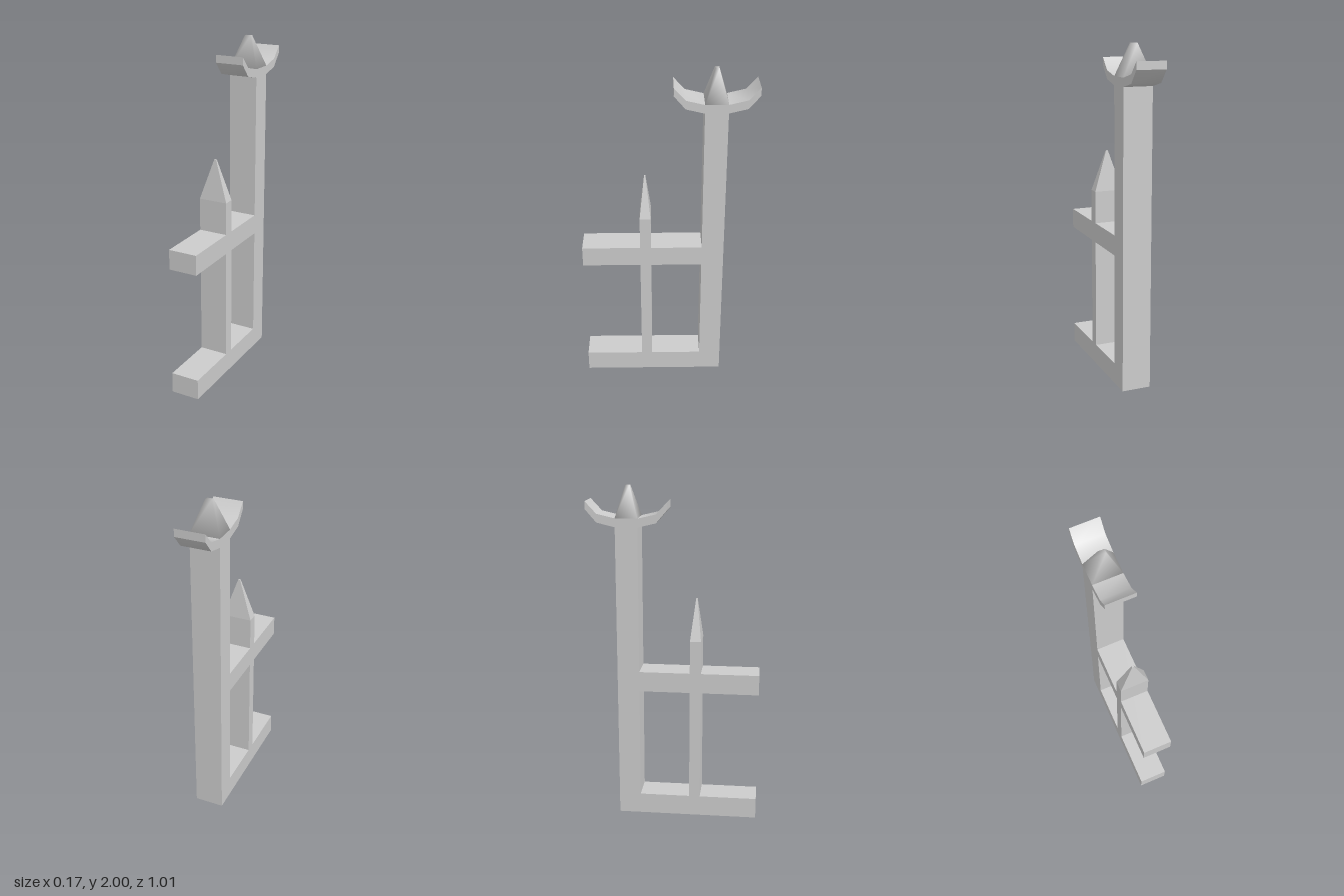
import * as THREE from 'three';
import { mergeVertices, toCreasedNormals } from 'three/addons/utils/BufferGeometryUtils.js';

const HALF_WIDTH = 0.087;
const POST_Z = -0.27;

export function createModel() {
  const group = new THREE.Group();
  group.name = 'fenceSection';
  const material = new THREE.MeshStandardMaterial({ color: 0xcccccc });

  const add = (name, geometry) => {
    const mesh = new THREE.Mesh(geometry, material);
    mesh.name = name;
    group.add(mesh);
    return mesh;
  };

  // Full-width block between two heights and two depths
  const block = (name, y0, y1, z0, z1) => {
    const geometry = new THREE.BoxGeometry(2 * HALF_WIDTH, y1 - y0, z1 - z0);
    geometry.translate(0, (y0 + y1) / 2, (z0 + z1) / 2);
    return add(name, geometry);
  };

  // Box whose upper corners are drawn in to a small tip
  const taper = (y0, y1, z, baseX, baseZ, tipX, tipZ) => {
    const geometry = new THREE.BoxGeometry(2, y1 - y0, 2);
    const p = geometry.attributes.position;
    for (let i = 0; i < p.count; i++) {
      const top = p.getY(i) > 0;
      p.setX(i, p.getX(i) * (top ? tipX : baseX));
      p.setZ(i, p.getZ(i) * (top ? tipZ : baseZ));
    }
    geometry.translate(0, (y0 + y1) / 2, z);
    geometry.computeVertexNormals();
    return geometry;
  };

  // Post and rails
  block('post', 0, 1.8, -0.335, -0.205);
  block('lowerRail', 0, 0.125, -0.205, 0.505);
  block('upperRail', 0.795, 0.915, -0.205, 0.505);

  // Pointed picket passing through the upper rail
  block('picketLower', 0.125, 0.795, 0.096, 0.161);
  block('picketUpper', 0.915, 1.11, 0.096, 0.161);
  add('picketTip', taper(1.11, 1.352, 0.1285, HALF_WIDTH, 0.0325, 0.006, 0.004));

  // Upturned cap: half profile (offset from post centre, height), mirrored
  const under = [[0.065, 1.77], [0.17, 1.795], [0.235, 1.87]];
  const upper = [[0.235, 1.915], [0.17, 1.845], [0.065, 1.82]];
  const half = [...under, ...upper];
  const mirrored = half.map(([d, y]) => [-d, y]).reverse();
  const outline = new THREE.Shape([...half, ...mirrored].map(([d, y]) => new THREE.Vector2(d, y)));
  const cap = new THREE.ExtrudeGeometry(outline, { depth: 2 * HALF_WIDTH, bevelEnabled: false });
  cap.translate(0, 0, -HALF_WIDTH);
  cap.rotateY(Math.PI / 2);
  cap.translate(0, 0, POST_Z);
  add('cap', toCreasedNormals(cap, 0.67));

  // Smooth-shaded finial: merged corners share their normals
  const finial = taper(1.82, 2, POST_Z, HALF_WIDTH, 0.065, 0.018, 0.012);
  finial.deleteAttribute('normal');
  finial.deleteAttribute('uv');
  const smoothFinial = mergeVertices(finial);
  smoothFinial.computeVertexNormals();
  add('finial', smoothFinial);

  return group;
}
